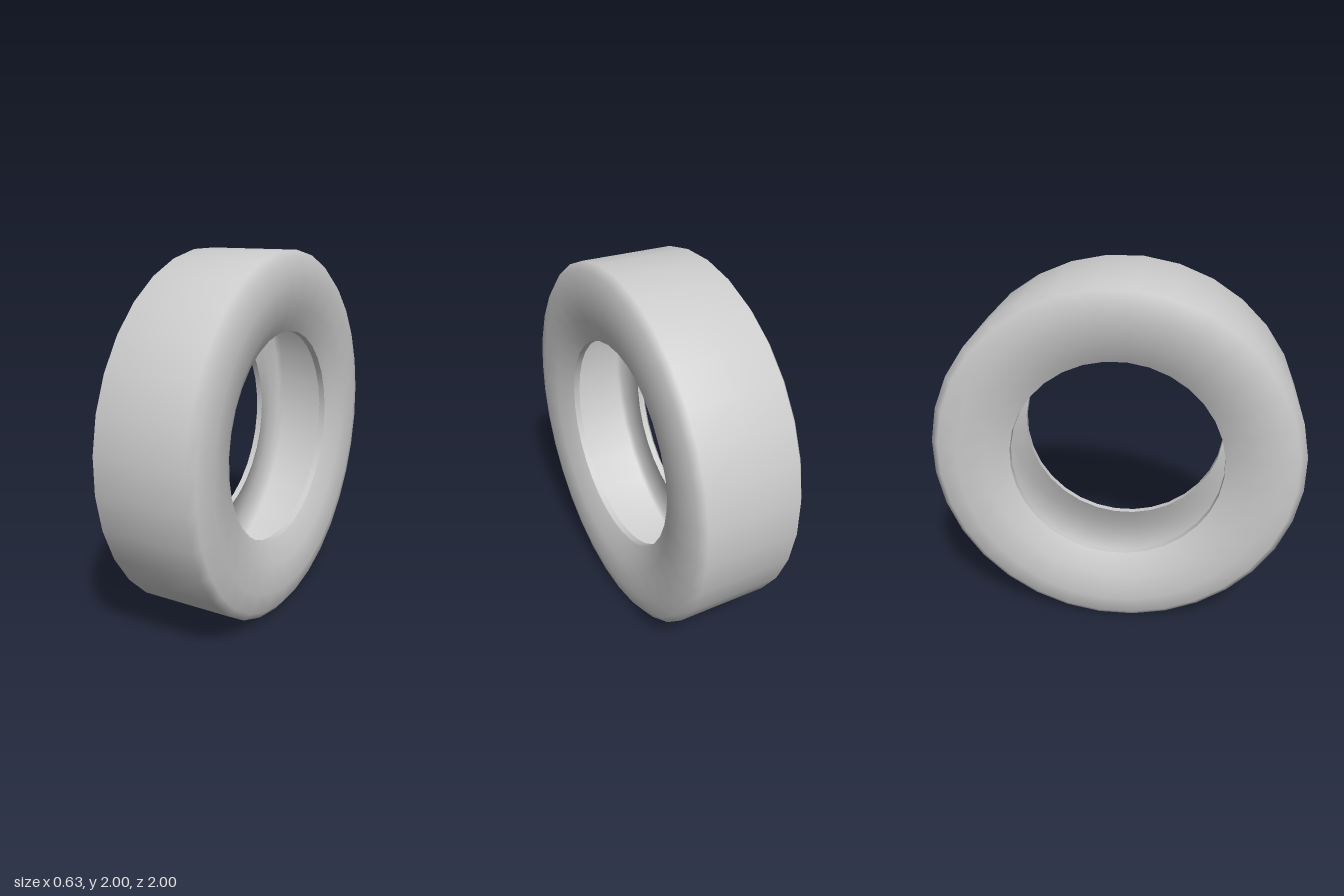
import * as THREE from 'three';

const SIDES = 32;
const FLAT = 1 / Math.cos(Math.PI / SIDES); // radii below are measured to the flats

// half profiles as [radius, x], from the middle of the tread to the bead
const OUTER = [[1, 0], [1, 0.255], [0.96, 0.288], [0.85, 0.315], [0.7, 0.295], [0.58, 0.235]];
const INNER = [[0.955, 0], [0.955, 0.23], [0.925, 0.255], [0.84, 0.278], [0.71, 0.258], [0.58, 0.2]];

// full profile running from -x to +x
function mirrored(half) {
  const left = half.slice(1).reverse().map(([r, x]) => [r, -x]);
  return [...left, ...half];
}

// ring turned around the x axis, with flats facing up, down, front and back
function ring(name, profile, material) {
  const points = profile.map(([r, x]) => new THREE.Vector2(r * FLAT, x));
  const geometry = new THREE.LatheGeometry(points, SIDES, Math.PI / SIDES);
  geometry.rotateZ(-Math.PI / 2);
  const mesh = new THREE.Mesh(geometry, material);
  mesh.name = name;
  return mesh;
}

export function createModel() {
  const group = new THREE.Group();
  group.name = 'tire';
  const material = new THREE.MeshStandardMaterial({ color: 0xcccccc });

  // tread and sidewalls, then the hollow inside
  group.add(ring('outerShell', mirrored(OUTER), material));
  group.add(ring('innerShell', mirrored(INNER).reverse(), material));

  // bead lips joining the two shells
  group.add(ring('leftBead', [[0.58, 0.235], [0.58, 0.2]], material));
  group.add(ring('rightBead', [[0.58, -0.2], [0.58, -0.235]], material));

  for (const part of group.children) part.position.y = 1;
  return group;
}
